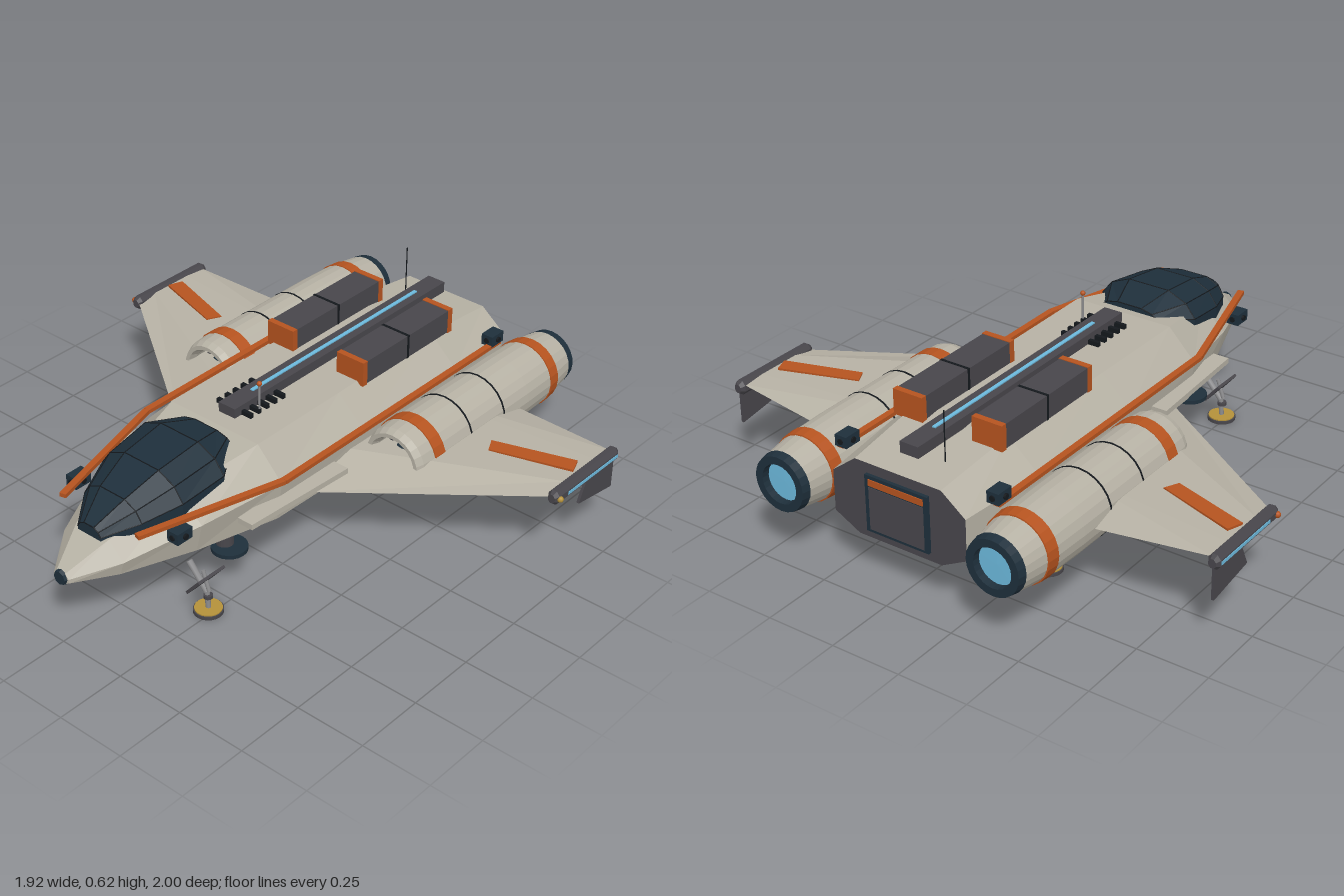
import * as THREE from 'three';

const mat = (name, color) => Object.assign(new THREE.MeshStandardMaterial({ color }), { name });
const HULL = mat('warm grey hull', 0xb6b1a4), DARK = mat('dark grey', 0x48464b), NAVY = mat('navy', 0x1e2f3b),
  ORANGE = mat('burnt orange', 0xb5531f), BLUE = mat('glow blue', 0x6cb9dc), GOLD = mat('gold', 0xb4913a),
  METAL = mat('metal', 0x8b8b8d), BLACK = mat('black', 0x14181c);

const V = (x, y, z) => new THREE.Vector3(x, y, z);
const flat = (g) => { const n = g.index ? g.toNonIndexed() : g; n.computeVertexNormals(); return n; };

function add(parent, name, geo, material, x = 0, y = 0, z = 0) {
  const m = new THREE.Mesh(geo, material);
  m.name = name;
  m.position.set(x, y, z);
  parent.add(m);
  return m;
}
const box = (p, name, m, w, h, d, x, y, z) => add(p, name, new THREE.BoxGeometry(w, h, d), m, x, y, z);
const disc = (p, name, m, r, h, x, y, z, n = 20) => add(p, name, flat(new THREE.CylinderGeometry(r, r, h, n)), m, x, y, z);

// round bar between two points
function bar(p, name, m, a, b, r, n = 8) {
  const d = b.clone().sub(a);
  const o = add(p, name, new THREE.CylinderGeometry(r, r, d.length(), n), m);
  o.position.copy(a).add(b).multiplyScalar(0.5);
  o.quaternion.setFromUnitVectors(V(0, 1, 0), d.normalize());
}

// square-cut beam lying level between two points
function beam(p, name, m, a, b, w, h) {
  const o = box(p, name, m, w, h, a.distanceTo(b), (a.x + b.x) / 2, (a.y + b.y) / 2, (a.z + b.z) / 2);
  o.lookAt(b);
}

// flat-faced skin over rings; keep selects which strips are built
function loft(rings, keep = () => true, front = true, back = true) {
  const pos = [], n = rings[0].length;
  const tri = (...v) => v.forEach((q) => pos.push(q.x, q.y, q.z));
  for (let i = 0; i < rings.length - 1; i++)
    for (let j = 0; j < n; j++) {
      if (!keep(j)) continue;
      const k = (j + 1) % n, A = rings[i], B = rings[i + 1];
      tri(A[j], B[j], B[k]);
      tri(A[j], B[k], A[k]);
    }
  const F = rings[0], L = rings[rings.length - 1];
  for (let j = 1; j < n - 1; j++) {
    if (front) tri(F[0], F[j], F[j + 1]);
    if (back) tri(L[0], L[j + 1], L[j]);
  }
  const g = new THREE.BufferGeometry();
  g.setAttribute('position', new THREE.Float32BufferAttribute(pos, 3));
  g.computeVertexNormals();
  return g;
}

// turned part along z, profile points as [radius, z] from back to front
const turned = (pts, n = 24) =>
  flat(new THREE.LatheGeometry(pts.map(([r, z]) => new THREE.Vector2(r, z)), n).rotateX(Math.PI / 2));

// mirrored copy across x = 0 with the winding put right
function mirrored(src, name) {
  const out = new THREE.Group();
  out.name = name;
  src.updateMatrixWorld(true);
  const flip = new THREE.Matrix4().makeScale(-1, 1, 1);
  src.traverse((o) => {
    if (!o.isMesh) return;
    const g = o.geometry.index ? o.geometry.toNonIndexed() : o.geometry.clone();
    g.applyMatrix4(o.matrixWorld).applyMatrix4(flip);
    for (const key of ['position', 'normal']) {
      const a = g.attributes[key].array;
      for (let i = 0; i < a.length; i += 9)
        for (let c = 0; c < 3; c++) [a[i + 3 + c], a[i + 6 + c]] = [a[i + 6 + c], a[i + 3 + c]];
    }
    add(out, o.name, g, o.material);
  });
  return out;
}

function buildHull(g) {
  // z, then height and half width of belly, lower chine, upper chine and deck
  const rings = [
    [0.99, 0.23, 0.018, 0.238, 0.032, 0.252, 0.032, 0.268, 0.018],
    [0.85, 0.205, 0.06, 0.236, 0.115, 0.285, 0.13, 0.345, 0.07],
    [0.6, 0.178, 0.11, 0.228, 0.2, 0.335, 0.225, 0.42, 0.13],
    [0.3, 0.16, 0.15, 0.22, 0.27, 0.365, 0.29, 0.47, 0.188],
    [-0.1, 0.15, 0.17, 0.22, 0.28, 0.37, 0.295, 0.47, 0.186],
    [-0.6, 0.15, 0.17, 0.22, 0.28, 0.37, 0.29, 0.47, 0.178],
    [-0.92, 0.165, 0.16, 0.215, 0.255, 0.36, 0.255, 0.43, 0.165],
  ].map(([z, yb, wb, yl, wl, yu, wu, yt, wt]) => [V(wb, yb, z), V(wl, yl, z), V(wu, yu, z), V(wt, yt, z),
    V(-wt, yt, z), V(-wu, yu, z), V(-wl, yl, z), V(-wb, yb, z)]);
  const belly = (j) => j === 0 || j > 5;
  add(g, 'upperHull', loft(rings, (j) => !belly(j), true, false), HULL);
  add(g, 'bellyAndAftPlate', loft(rings, belly, false, true), DARK);
  add(g, 'noseSensor', flat(new THREE.CylinderGeometry(0.024, 0.028, 0.012, 8).rotateX(Math.PI / 2)), NAVY, 0, 0.248, 0.993);

  // cargo door on the aft plate
  box(g, 'doorFrame', NAVY, 0.24, 0.2, 0.016, 0, 0.295, -0.924);
  box(g, 'doorPanel', DARK, 0.21, 0.15, 0.008, 0, 0.28, -0.93);
  box(g, 'doorHeader', ORANGE, 0.21, 0.022, 0.009, 0, 0.372, -0.931);
}

function buildCanopy(g) {
  // z, half width, base height, top height
  const rings = [[0.865, 0.05, 0.335, 0.375], [0.76, 0.125, 0.35, 0.44], [0.63, 0.175, 0.365, 0.49],
    [0.46, 0.19, 0.39, 0.512], [0.34, 0.115, 0.44, 0.482]].map(([z, w, b, t]) =>
    [[1, 0], [1, 0.35], [0.8, 0.75], [0.42, 1], [-0.42, 1], [-0.8, 0.75], [-1, 0.35], [-1, 0]]
      .map(([u, v]) => V(u * w, b + v * (t - b), z)));
  add(g, 'canopyGlass', loft(rings), NAVY);
  rings.forEach((r, i) => {
    for (let j = 1; j < 7; j++) {
      if (j < 6) bar(g, 'canopyRib', BLACK, r[j], r[j + 1], 0.002, 5);
      if (i < 4) bar(g, 'canopyStringer', BLACK, r[j], rings[i + 1][j], 0.002, 5);
    }
  });
}

function buildSpine(g) {
  box(g, 'spine', DARK, 0.07, 0.04, 1.1, 0, 0.485, -0.31);
  box(g, 'spineLight', BLUE, 0.013, 0.006, 0.86, 0, 0.506, -0.31);
  for (let i = 0; i < 5; i++) box(g, 'coolingRib', BLACK, 0.15, 0.02, 0.014, 0, 0.476, 0.045 + i * 0.039);
  bar(g, 'shortMast', METAL, V(0.07, 0.46, 0.16), V(0.07, 0.575, 0.16), 0.004);
  add(g, 'mastTip', new THREE.SphereGeometry(0.009, 10, 8), ORANGE, 0.07, 0.58, 0.16);
  bar(g, 'whipAntenna', BLACK, V(-0.09, 0.44, -0.8), V(-0.09, 0.622, -0.8), 0.002);
}

function buildWing(g) {
  // rings from tip to root: x, leading z, trailing z, top, middle, bottom
  const rings = [[0.92, -0.28, -0.61, 0.318, 0.303, 0.284], [0.27, 0.183, -0.677, 0.325, 0.262, 0.235]]
    .map(([x, l, t, yt, ym, yb]) => {
      const at = (f) => l + (t - l) * f;
      return [V(x, ym, l), V(x, yb, at(0.25)), V(x, yb, at(0.75)), V(x, ym + 0.01, t), V(x, yt, at(0.75)), V(x, yt, at(0.25))];
    });
  add(g, 'wing', loft(rings), HULL);
  const plate = (pts, depth) => new THREE.ExtrudeGeometry(
    new THREE.Shape(pts.map(([a, b]) => new THREE.Vector2(a, b))), { depth, bevelEnabled: false });
  const stripe = plate([[0.605, 0.385], [0.63, 0.335], [0.905, 0.42], [0.885, 0.475]], 0.008).rotateX(-Math.PI / 2);
  add(g, 'wingStripe', stripe, ORANGE, 0, 0.318, 0);
  const strake = plate([[0.26, -0.475], [0.32, -0.475], [0.345, -0.04], [0.26, -0.04]], 0.02).rotateX(-Math.PI / 2);
  add(g, 'strake', strake, HULL, 0, 0.295, 0);

  // wing tip pod with hanging fin
  const tip = [[-0.27, 0.014], [-0.285, 0.023], [-0.615, 0.023], [-0.63, 0.014]].map(([z, r]) =>
    Array.from({ length: 8 }, (_, i) => {
      const a = (i + 0.5) * Math.PI / 4;
      return V(0.927 + Math.cos(a) * r, 0.302 + Math.sin(a) * r * 1.2, z);
    }));
  add(g, 'tipPod', loft(tip), DARK);
  box(g, 'tipLight', BLUE, 0.005, 0.011, 0.28, 0.948, 0.302, -0.473);
  add(g, 'tipFin', plate([[0.43, 0.2], [0.62, 0.17], [0.62, 0.285], [0.47, 0.285]], 0.01).rotateY(Math.PI / 2), DARK, 0.922, 0, 0);
}

function buildEngine(g) {
  const e = new THREE.Group();
  e.name = 'engine';
  e.position.set(0.41, 0.292, 0);
  g.add(e);
  add(e, 'nacelle', turned([[0.1, -0.975], [0.118, -0.85], [0.122, -0.7], [0.122, -0.2], [0.117, -0.13],
    [0.106, -0.104], [0.092, -0.104], [0.082, -0.13], [0.082, -0.2]]), HULL);
  add(e, 'intakeFan', turned([[0.083, -0.185], [0.0, -0.184]]), BLACK);
  add(e, 'intakeRing', turned([[0.07, -0.183], [0.07, -0.17], [0.058, -0.17], [0.058, -0.183]]), DARK);
  add(e, 'intakeHub', turned([[0.045, -0.185], [0.04, -0.16], [0, -0.13]]), NAVY);
  add(e, 'frontBand', turned([[0.121, -0.236], [0.1245, -0.235], [0.1245, -0.185], [0.121, -0.184]]), ORANGE);
  add(e, 'rearBand', turned([[0.113, -0.881], [0.118, -0.88], [0.122, -0.835], [0.118, -0.834]]), ORANGE);
  for (const z of [-0.38, -0.56]) add(e, 'seam', turned([[0.121, z - 0.004], [0.1235, z - 0.003], [0.1235, z + 0.003], [0.121, z + 0.004]]), BLACK);
  add(e, 'nozzle', turned([[0.066, -0.96], [0.069, -1], [0.096, -1], [0.102, -0.97], [0.098, -0.968]]), NAVY);
  add(e, 'exhaustGlow', turned([[0, -0.975], [0.07, -0.974]]), BLUE);
}

function buildGear(g, x, z) {
  bar(g, 'gearStrut', METAL, V(x - 0.08, 0.16, z), V(x - 0.005, 0.075, z), 0.011);
  bar(g, 'gearBrace', METAL, V(x - 0.02, 0.15, z), V(x + 0.005, 0.08, z), 0.007);
  bar(g, 'gearLeg', METAL, V(x - 0.005, 0.08, z), V(x, 0.01, z), 0.009);
  disc(g, 'gearAnkle', DARK, 0.016, 0.012, x, 0.06, z, 10);
  // door hangs with its upper edge outboard
  box(g, 'gearDoor', DARK, 0.01, 0.085, 0.12, x - 0.01, 0.12, z).rotation.z = -0.7;
  disc(g, 'footPad', DARK, 0.05, 0.012, x, 0.006, z);
  disc(g, 'footPadTop', GOLD, 0.046, 0.004, x, 0.014, z);
}

function buildSide() {
  const g = new THREE.Group();
  buildWing(g);
  buildEngine(g);
  // edge rails
  const corner = V(0.303, 0.385, 0.305);
  beam(g, 'rail', ORANGE, V(0.303, 0.385, -0.83), corner, 0.023, 0.014);
  beam(g, 'rail', ORANGE, corner, V(0.162, 0.385, 0.82), 0.023, 0.014);
  // cargo packs
  box(g, 'cargoPack', DARK, 0.11, 0.085, 0.44, 0.153, 0.502, -0.435);
  box(g, 'packSeam', BLACK, 0.113, 0.088, 0.01, 0.153, 0.502, -0.435);
  for (const z of [-0.206, -0.664]) box(g, 'packCap', ORANGE, 0.114, 0.09, 0.022, 0.153, 0.502, z);
  // manoeuvring thrusters
  for (const [x, y, z] of [[0.222, 0.358, 0.695], [0.293, 0.406, -0.805]]) {
    box(g, 'thrusterBlock', NAVY, 0.045, 0.04, 0.065, x, y, z);
    bar(g, 'thrusterNozzle', BLACK, V(x - 0.028, y, z), V(x + 0.03, y, z), 0.01);
    bar(g, 'thrusterNozzle', BLACK, V(x, y, z - 0.037), V(x, y, z + 0.037), 0.01);
  }
  // belly lift jets
  for (const [x, z] of [[0.19, 0.44], [0.215, -0.41]]) {
    disc(g, 'liftJetRim', NAVY, 0.061, 0.014, x, 0.148, z);
    disc(g, 'liftJetGlow', BLUE, 0.05, 0.005, x, 0.14, z);
    disc(g, 'liftJetStem', DARK, 0.03, 0.05, x - 0.02, 0.178, z);
  }
  buildGear(g, 0.235, 0.59);
  buildGear(g, 0.288, -0.55);
  return g;
}

export function createModel() {
  const model = new THREE.Group();
  model.name = 'shuttle';
  buildHull(model);
  buildCanopy(model);
  buildSpine(model);
  const left = buildSide();
  left.name = 'leftSide';
  model.add(left, mirrored(left, 'rightSide'));
  // navigation lights
  add(model, 'leftNavigationLight', new THREE.SphereGeometry(0.011, 10, 8), GOLD, 0.949, 0.302, -0.288);
  add(model, 'rightNavigationLight', new THREE.SphereGeometry(0.011, 10, 8), ORANGE, -0.949, 0.302, -0.288);
  return model;
}
